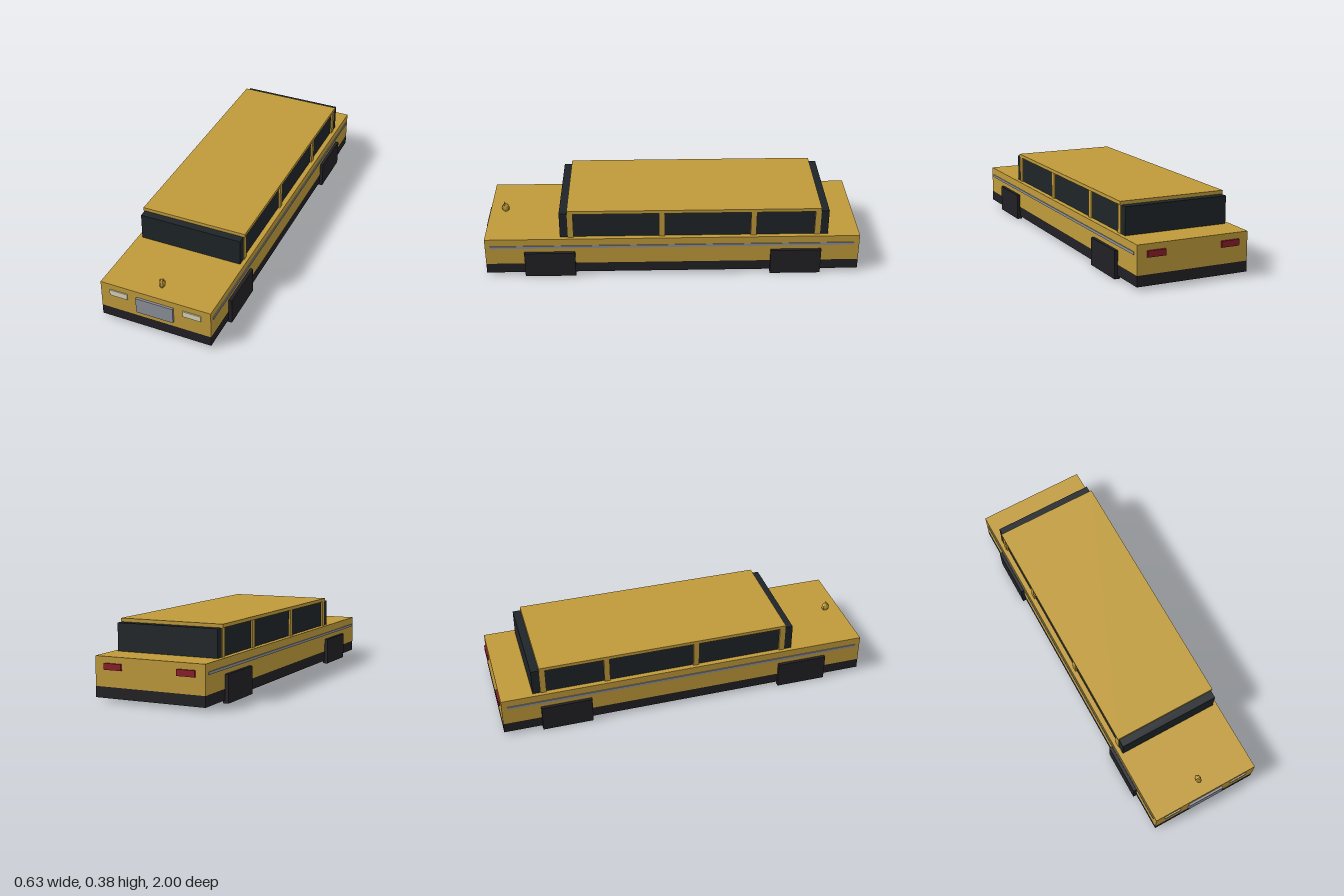
import * as THREE from 'three';

const mat = (color) => new THREE.MeshStandardMaterial({ color, flatShading: true });

export function createModel() {
  const car = new THREE.Group();
  car.name = 'limousine';
  const gold = mat(0xbf9a3a), dark = mat(0x211f24), glass = mat(0x1e2428);
  const chrome = mat(0x8c9098), lamp = mat(0xd8d4b8), red = mat(0x8c1c28);

  // Box given by its lower and upper limits on each axis
  const box = (name, material, [x0, x1], [y0, y1], [z0, z1], parent = car) => {
    const mesh = new THREE.Mesh(new THREE.BoxGeometry(x1 - x0, y1 - y0, z1 - z0), material);
    mesh.position.set((x0 + x1) / 2, (y0 + y1) / 2, (z0 + z1) / 2);
    mesh.name = name;
    parent.add(mesh);
    return mesh;
  };
  // The same box on the left (+x) and right (-x)
  const pair = (name, material, [x0, x1], y, z) => {
    box(name + 'Left', material, [x0, x1], y, z);
    box(name + 'Right', material, [-x1, -x0], y, z);
  };

  // Lower body and skirt
  box('body', gold, [-0.297, 0.297], [0.071, 0.219], [-0.99, 0.988]);
  box('skirt', dark, [-0.297, 0.297], [0.016, 0.071], [-0.99, 0.988]);

  // Cabin: glass core, windscreens, posts and roof
  box('cabinGlass', glass, [-0.27, 0.27], [0.219, 0.36], [-0.775, 0.545]);
  box('windscreen', glass, [-0.275, 0.275], [0.219, 0.36], [0.545, 0.592]);
  box('rearWindow', glass, [-0.275, 0.275], [0.219, 0.36], [-0.822, -0.775]);
  for (const z of [0.535, 0.055, -0.428, -0.765]) {
    pair('windowPost', gold, [0.262, 0.279], [0.219, 0.36], [z - 0.015, z + 0.015]);
  }
  box('roof', gold, [-0.282, 0.282], [0.36, 0.378], [-0.78, 0.55]);

  // Square wheel blocks and side trim
  for (const z of [0.648, -0.654]) {
    pair('wheel', dark, [0.286, 0.314], [0, 0.142], [z - 0.134, z + 0.134]);
  }
  pair('sideTrim', chrome, [0.295, 0.301], [0.165, 0.179], [-0.96, 0.963]);

  // Grille and lights
  box('grille', chrome, [-0.1, 0.1], [0.1, 0.186], [0.98, 1]);
  pair('headlight', lamp, [0.15, 0.246], [0.155, 0.187], [0.98, 0.994]);
  pair('tailLight', red, [0.15, 0.246], [0.155, 0.187], [-1, -0.98]);

  // Bonnet ornament: faceted head with two pointed ears
  const ornament = new THREE.Group();
  ornament.name = 'bonnetOrnament';
  ornament.position.set(0, 0.243, 0.904);
  const head = new THREE.Mesh(new THREE.SphereGeometry(1, 8, 6), gold);
  head.name = 'ornamentHead';
  head.scale.set(0.016, 0.024, 0.022);
  ornament.add(head);
  for (const side of [-1, 1]) {
    const ear = new THREE.Mesh(new THREE.ConeGeometry(0.006, 0.016, 4), gold);
    ear.name = side > 0 ? 'earLeft' : 'earRight';
    ear.position.set(side * 0.008, 0.025, 0.004);
    ornament.add(ear);
  }
  car.add(ornament);
  return car;
}
